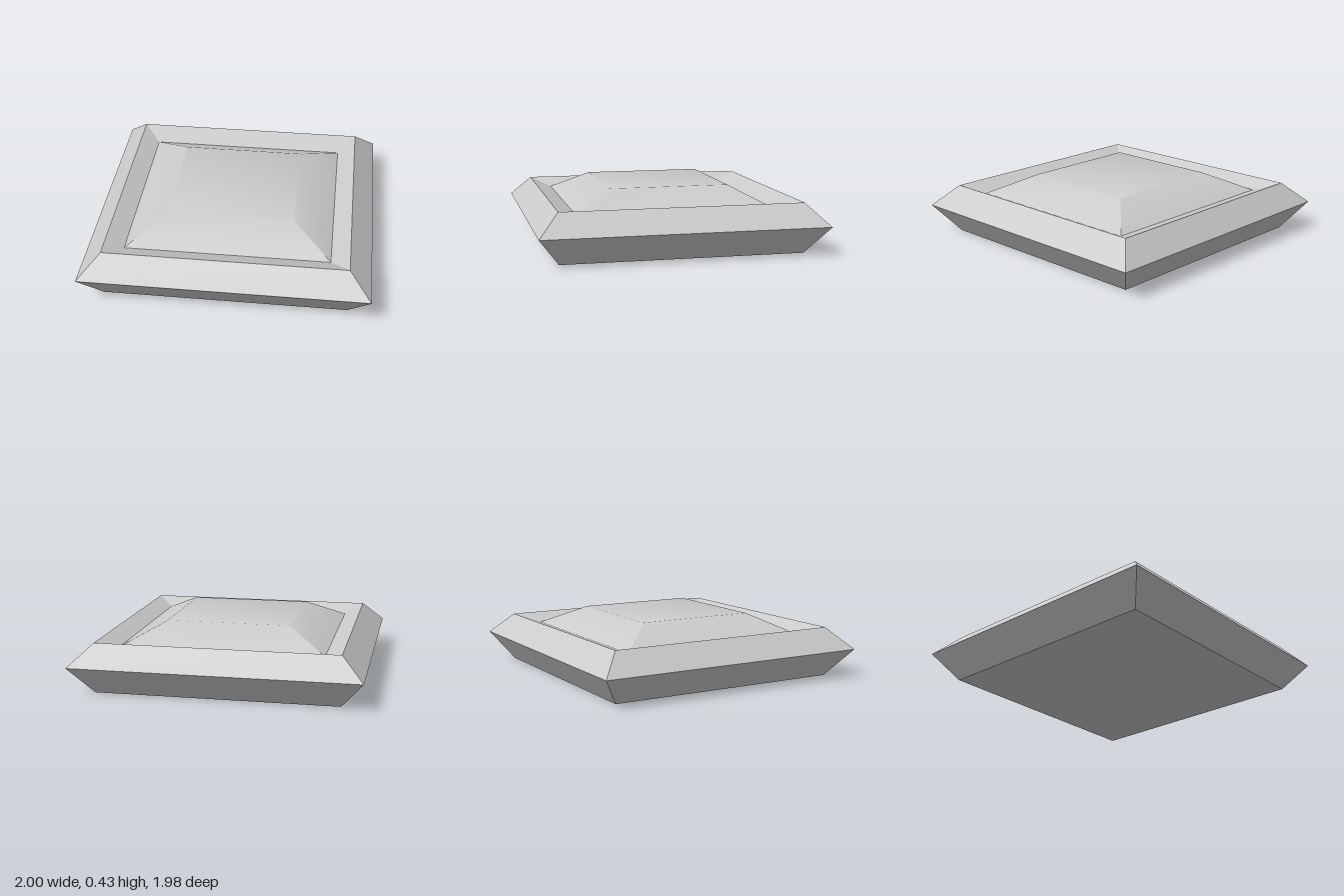
import * as THREE from 'three';
import { toCreasedNormals } from 'three/addons/utils/BufferGeometryUtils.js';

// Skin stacked rectangular rings [halfWidth, y, zBack, zFront], with optional end caps
function skinRings(rings, { capStart = false, capEnd = false }) {
  const points = [];
  const index = [];
  for (const [w, y, z0, z1] of rings) {
    points.push(w, y, z1, w, y, z0, -w, y, z0, -w, y, z1);
  }
  for (let r = 0; r < rings.length - 1; r++) {
    for (let i = 0; i < 4; i++) {
      const a = r * 4 + i;
      const b = r * 4 + (i + 1) % 4;
      index.push(a, b, b + 4, a, b + 4, a + 4);
    }
  }
  if (capStart) index.push(0, 2, 1, 0, 3, 2);
  if (capEnd) {
    const n = (rings.length - 1) * 4;
    index.push(n, n + 1, n + 2, n, n + 2, n + 3);
  }
  const geometry = new THREE.BufferGeometry();
  geometry.setAttribute('position', new THREE.Float32BufferAttribute(points, 3));
  geometry.setIndex(index);
  return geometry;
}

export function createModel() {
  const group = new THREE.Group();
  group.name = 'beveledTile';

  const add = (name, geometry, flatShading) => {
    geometry.computeVertexNormals();
    const material = new THREE.MeshStandardMaterial({ color: 0xcccccc, flatShading });
    const mesh = new THREE.Mesh(geometry, material);
    mesh.name = name;
    group.add(mesh);
  };

  // Recessed underside, pointed outer edge and raised rim
  add('frame', skinRings([
    [0.715, 0.02, -0.68, 0.70],
    [0.845, 0, -0.845, 0.845],
    [1, 0.2, -0.99, 0.99],
    [0.845, 0.35, -0.845, 0.845],
    [0.715, 0.29, -0.68, 0.70],
  ], { capStart: true }), true);

  // Raised centre panel, softly shaded where its slopes meet the flat top
  add('panel', toCreasedNormals(skinRings([
    [0.715, 0.29, -0.68, 0.70],
    [0.44, 0.43, -0.415, 0.435],
  ], { capEnd: true }), 0.56), false);
  // Restore the softened normals after the shared mesh setup
  const panel = group.getObjectByName('panel');
  panel.geometry = toCreasedNormals(panel.geometry, 0.56);

  return group;
}
